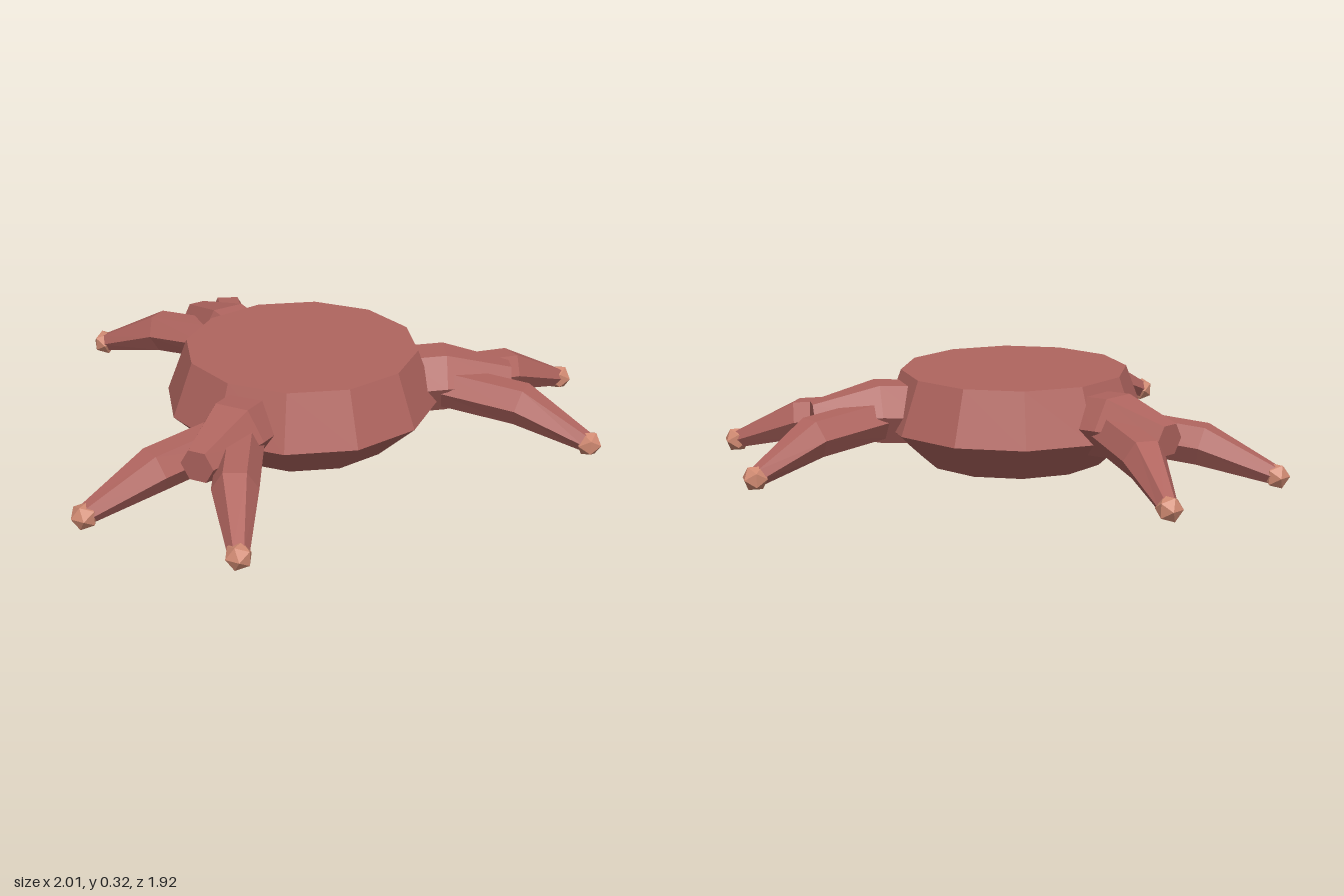
import * as THREE from 'three';

const SIDES = 6;

// Six-sided, flat-topped tube through stations [x, y, z, radius], capped at both ends
function limb(stations, material, name) {
  const centres = stations.map(([x, y, z]) => new THREE.Vector3(x, y, z));
  const last = centres.length - 1;
  const positions = [];
  const index = [];
  centres.forEach((c, i) => {
    const t = centres[Math.min(i + 1, last)].clone().sub(centres[Math.max(i - 1, 0)]).normalize();
    const side = new THREE.Vector3().crossVectors(t, new THREE.Vector3(0, 1, 0)).normalize();
    const up = new THREE.Vector3().crossVectors(side, t);
    for (let k = 0; k < SIDES; k++) {
      const a = (k / SIDES) * Math.PI * 2;
      const r = stations[i][3];
      const p = c.clone().addScaledVector(side, Math.cos(a) * r).addScaledVector(up, Math.sin(a) * r);
      positions.push(p.x, p.y, p.z);
    }
  });
  for (let i = 0; i < last; i++) {
    for (let k = 0; k < SIDES; k++) {
      const n = (k + 1) % SIDES;
      const a = i * SIDES + k, b = i * SIDES + n;
      index.push(a, a + SIDES, b, b, a + SIDES, b + SIDES);
    }
  }
  const end = last * SIDES;
  for (let k = 1; k < SIDES - 1; k++) {
    index.push(0, k, k + 1);
    index.push(end, end + k + 1, end + k);
  }
  const geometry = new THREE.BufferGeometry();
  geometry.setAttribute('position', new THREE.Float32BufferAttribute(positions, 3));
  geometry.setIndex(index);
  geometry.computeVertexNormals();
  const mesh = new THREE.Mesh(geometry, material);
  mesh.name = name;
  return mesh;
}

export function createModel() {
  const skin = new THREE.MeshStandardMaterial({ color: 0xb0655f, flatShading: true });
  skin.name = 'dusty red';
  const pad = new THREE.MeshStandardMaterial({ color: 0xd08a72, flatShading: true });
  pad.name = 'pale coral';

  const model = new THREE.Group();
  model.name = 'threeArmedCreature';

  // Everything radiates from the body centre
  const hub = new THREE.Group();
  hub.name = 'hub';
  hub.position.set(-0.045, 0, 0.08);
  model.add(hub);

  // Twelve-sided body, widest below the middle
  const profile = [[0, 0], [0.33, 0], [0.475, 0.135], [0.405, 0.325], [0, 0.325]];
  const body = new THREE.Mesh(
    new THREE.LatheGeometry(profile.map(([x, y]) => new THREE.Vector2(x, y)), 12), skin);
  body.name = 'body';
  hub.add(body);

  // Three forked arms, a third of a turn apart
  for (const degrees of [20, 140, 260]) {
    const arm = new THREE.Group();
    arm.name = 'arm';
    arm.rotation.y = -THREE.MathUtils.degToRad(degrees);
    arm.add(limb([
      [0.36, 0.185, 0, 0.118],
      [0.5, 0.195, 0, 0.118],
      [0.73, 0.185, 0, 0.06],
    ], skin, 'upperArm'));

    for (const s of [-1, 1]) {
      arm.add(limb([
        [0.49, 0.175, s * 0.03, 0.075],
        [0.75, 0.15, s * 0.148, 0.076],
        [0.96, 0.058, s * 0.274, 0.034],
      ], skin, 'finger'));

      // Faceted pad at the fingertip
      const tip = new THREE.Mesh(new THREE.IcosahedronGeometry(0.046, 0), pad);
      tip.name = 'fingertip';
      tip.position.set(0.966, 0.055, s * 0.277);
      arm.add(tip);
    }
    hub.add(arm);
  }
  return model;
}
